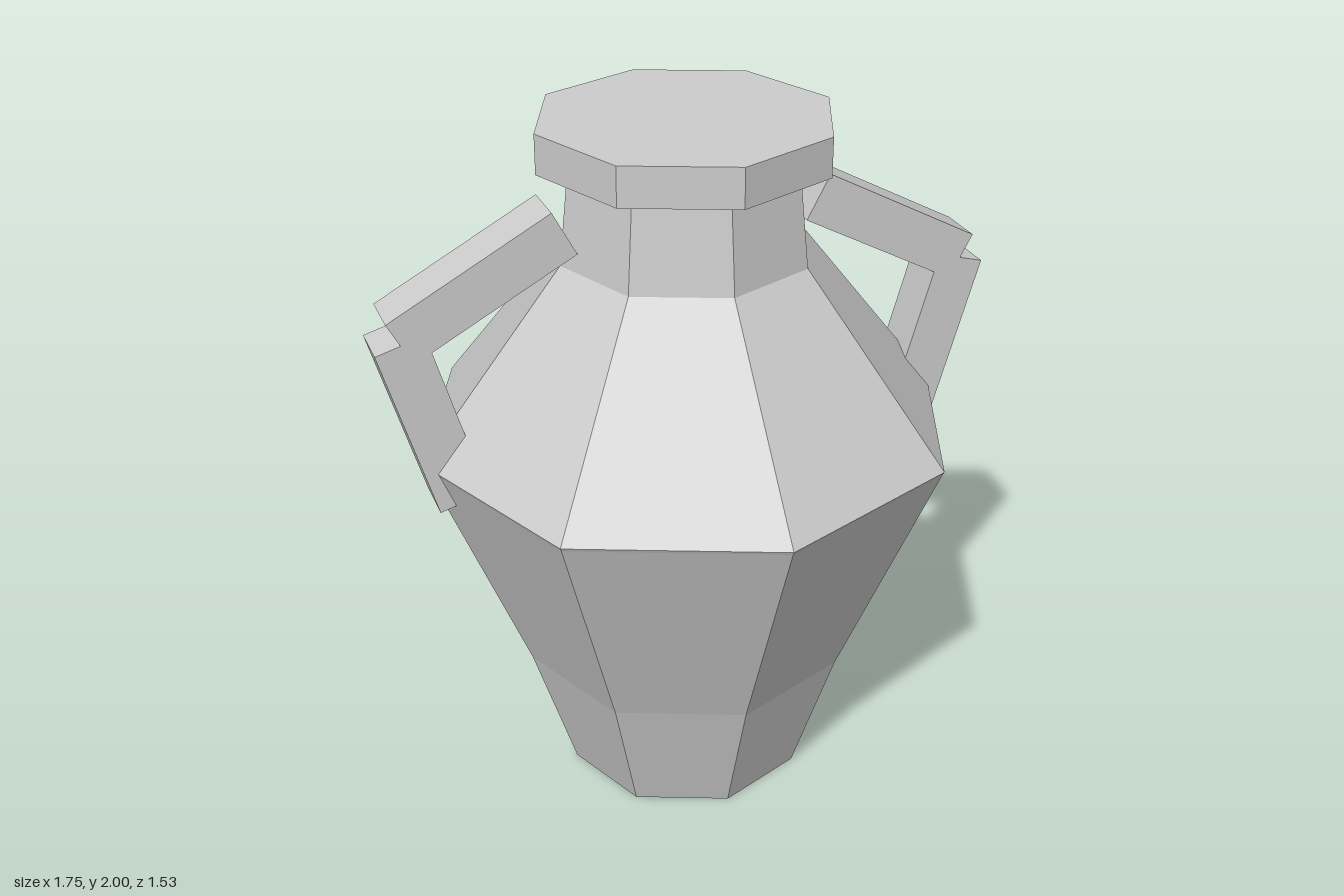
import * as THREE from 'three';

const SIDES = 8;

export function createModel() {
  const group = new THREE.Group();
  const clay = new THREE.MeshStandardMaterial({ color: 0xcccccc, flatShading: true });
  clay.name = 'plain clay';

  // Faceted solid of revolution from [radius, height] pairs, bottom to top
  const turned = (name, profile) => {
    const points = profile.map(([r, y]) => new THREE.Vector2(r, y));
    const mesh = new THREE.Mesh(new THREE.LatheGeometry(points, SIDES).toNonIndexed(), clay);
    mesh.geometry.computeVertexNormals();
    mesh.name = name;
    group.add(mesh);
  };

  // Base, belly, shoulder and neck
  turned('body', [
    [0, 0], [0.355, 0], [0.48, 0.4], [0.758, 1.1], [0.763, 1.11],
    [0.353, 1.63], [0.325, 1.89],
  ]);

  // Closed, overhanging rim
  turned('rim', [[0, 1.89], [0.41, 1.89], [0.41, 2], [0, 2]]);

  // Two-bar handle on each side
  const bar = (name, length, x, y, angle) => {
    const mesh = new THREE.Mesh(new THREE.BoxGeometry(0.14, length, 0.14), clay);
    mesh.name = name;
    mesh.position.set(x, y, 0);
    mesh.rotation.z = angle;
    return mesh;
  };
  for (const [name, turn] of [['leftHandle', 0], ['rightHandle', Math.PI]]) {
    const handle = new THREE.Group();
    handle.name = name;
    handle.add(bar('upperBar', 0.51, 0.583, 1.628, 1.08));
    handle.add(bar('lowerBar', 0.514, 0.738, 1.257, -0.276));
    handle.rotation.y = turn;
    group.add(handle);
  }

  return group;
}
